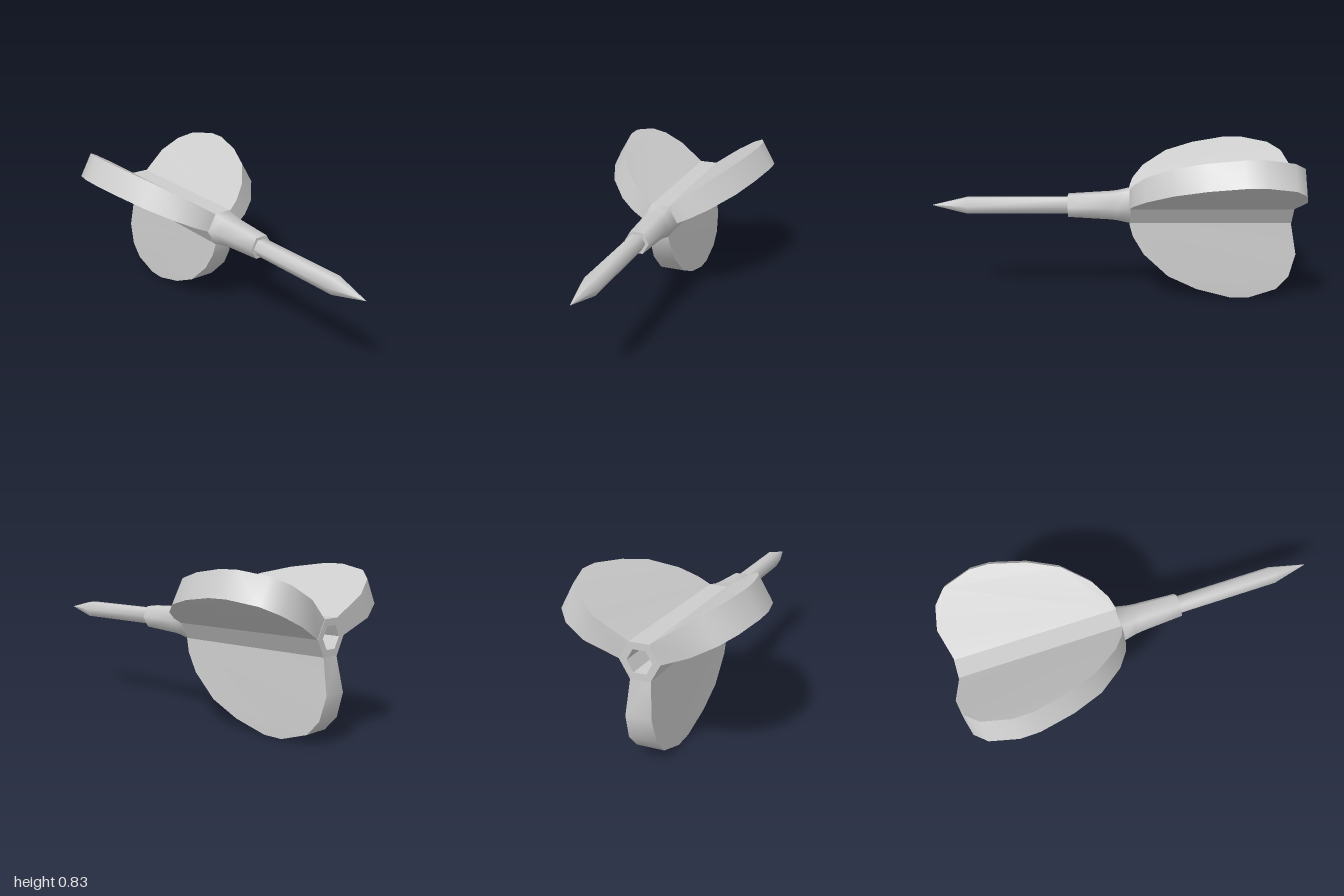
import * as THREE from 'three';
import { toCreasedNormals } from 'three/addons/utils/BufferGeometryUtils.js';

const AXIS_Y = 0.513; // height of the dart's long axis
const grey = new THREE.MeshStandardMaterial({ color: 0xcccccc });

// Six-sided turned part along z, profile given as [radius, z] from back to front
function hexTurned(name, profile, crease) {
  const points = profile.map(([r, z]) => new THREE.Vector2(r, z));
  const lathe = new THREE.LatheGeometry(points, 6, Math.PI / 6).rotateX(Math.PI / 2);
  const mesh = new THREE.Mesh(toCreasedNormals(lathe, crease), grey);
  mesh.name = name;
  return mesh;
}

// Rounded fin pointing up +y, thickening from root to rim
function finGeometry() {
  const outline = [
    [-0.085, 0.085], [-0.087, 0.1], [-0.105, 0.163], [-0.165, 0.263], [-0.3, 0.388],
    [-0.46, 0.463], [-0.645, 0.512], [-0.75, 0.513], [-0.9, 0.463], [-0.967, 0.388],
    [-1, 0.263], [-0.968, 0.09], [-0.968, 0.085],
  ].map(([z, r]) => new THREE.Vector2(z, r));
  const geo = new THREE.ExtrudeGeometry(new THREE.Shape(outline), { depth: 1, bevelEnabled: false });
  geo.translate(0, 0, -0.5);
  const pos = geo.attributes.position;
  for (let i = 0; i < pos.count; i++) {
    const t = THREE.MathUtils.clamp((pos.getY(i) - 0.09) / 0.325, 0, 1);
    const half = 0.052 + 0.021 * (1 - (1 - t) ** 1.6);
    pos.setZ(i, Math.sign(pos.getZ(i)) * half);
  }
  geo.rotateY(-Math.PI / 2);
  return toCreasedNormals(geo, 0.8);
}

export function createModel() {
  const dart = new THREE.Group();
  dart.name = 'dart';

  // Pointed front shaft
  dart.add(hexTurned('shaftAndTip', [[0.05, 0.2], [0.05, 0.8], [0, 1]], 1.2));

  // Tapered collar with a flat front step
  dart.add(hexTurned('collar', [
    [0.103, -0.09], [0.087, -0.02], [0.082, 0.02], [0.068, 0.25], [0.045, 0.25],
  ], 1.2));

  // Rear hexagonal body with a socket in its end
  dart.add(hexTurned('rearBody', [
    [0, -0.7], [0.064, -0.7], [0.064, -0.97], [0.103, -0.97], [0.103, -0.09],
  ], 0.5));

  // Three fins, one on every second flat of the body
  const geo = finGeometry();
  ['leftFin', 'bottomFin', 'rightFin'].forEach((name, i) => {
    const fin = new THREE.Mesh(geo, grey);
    fin.name = name;
    fin.rotation.z = -Math.PI / 3 - (i * 2 * Math.PI) / 3;
    dart.add(fin);
  });

  dart.position.y = AXIS_Y;
  const model = new THREE.Group();
  model.add(dart);
  return model;
}
